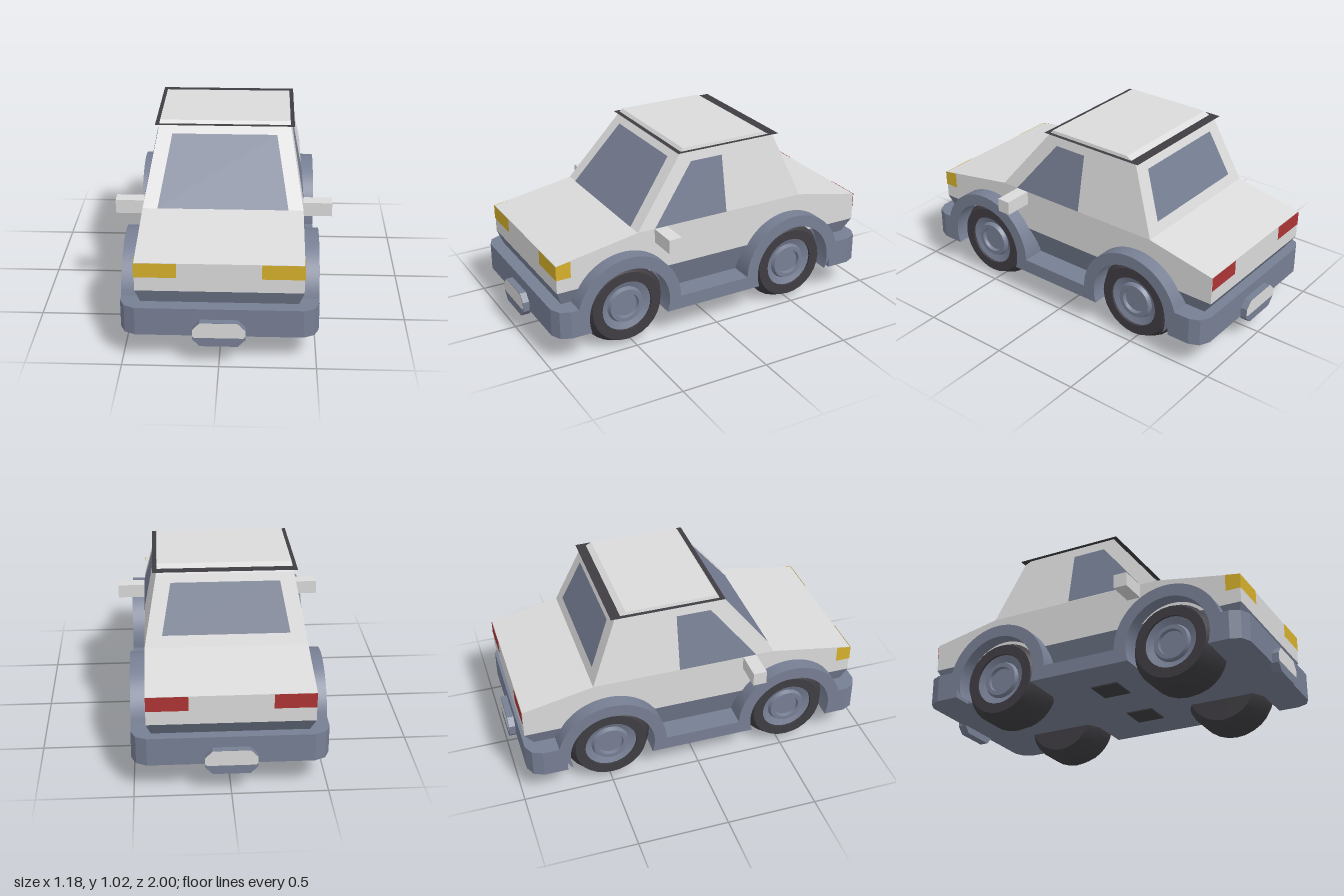
import * as THREE from 'three';
import { toCreasedNormals } from 'three/addons/utils/BufferGeometryUtils.js';

const paint = (name, color) => Object.assign(new THREE.MeshStandardMaterial({ color }), { name });

export function createModel() {
  const car = new THREE.Group();
  car.name = 'car';
  const white = paint('bodyWhite', 0xdadada);
  const grey = paint('trimGrey', 0x777f94);
  const glass = paint('glassGrey', 0x777f94);
  const dark = paint('rubberDark', 0x3f3d42);
  const amber = paint('lampAmber', 0xd6b02c);
  const red = paint('lampRed', 0xae3434);
  glass.side = dark.side = amber.side = red.side = white.side = THREE.DoubleSide;

  const add = (name, geometry, material) => {
    const mesh = new THREE.Mesh(geometry, material);
    mesh.name = name;
    car.add(mesh);
    return mesh;
  };
  const box = (name, material, w, h, d, x, y, z) =>
    add(name, new THREE.BoxGeometry(w, h, d), material).position.set(x, y, z);
  const shapeOf = (pts) => new THREE.Shape(pts.map(([a, b]) => new THREE.Vector2(a, b)));

  // Extrudes a (z, y) side profile across x from x0 to x1
  const across = (shape, x0, x1) => new THREE.ExtrudeGeometry(shape,
    { depth: x1 - x0, bevelEnabled: false, curveSegments: 20 })
    .rotateY(-Math.PI / 2).translate(x1, 0, 0);

  // Symmetric solid whose half width depends on height
  const tapered = (pts, halfWidth) => {
    const geo = across(shapeOf(pts), -1, 1);
    const p = geo.attributes.position;
    for (let i = 0; i < p.count; i++) p.setX(i, Math.sign(p.getX(i)) * halfWidth(p.getY(i)));
    geo.computeVertexNormals();
    return geo;
  };

  // Thin four-cornered panel
  const panel = (name, material, corners) => {
    const geo = new THREE.BufferGeometry();
    geo.setAttribute('position', new THREE.Float32BufferAttribute(corners.flat(), 3));
    geo.setIndex([0, 1, 2, 0, 2, 3]);
    geo.computeVertexNormals();
    return add(name, geo, material);
  };

  // Body shell, lower band and cabin
  const cabinWidth = (y) => 0.43 - (y - 0.63) * (0.075 / 0.39);
  add('bodyShell', tapered([[0.92, 0.393], [0.92, 0.55], [0.45, 0.63], [-0.57, 0.63],
    [-0.957, 0.55], [-0.957, 0.393]], () => 0.43), white);
  add('lowerBand', tapered([[0.86, 0.235], [0.92, 0.393], [-0.957, 0.393], [-0.855, 0.235]],
    (y) => 0.43 - (0.393 - y) * 0.31), grey);
  add('cabin', tapered([[0.45, 0.63], [0.14, 1.02], [-0.36, 1.02], [-0.425, 0.985], [-0.57, 0.63]],
    cabinWidth), white);
  panel('roofTrim', dark, [[-0.38, 1.003, 0.18], [0.38, 1.003, 0.18],
    [0.38, 1.003, -0.447], [-0.38, 1.003, -0.447]]);

  // Windscreen and rear window
  const frontZ = (y) => 0.455 - (y - 0.63) * (0.31 / 0.39);
  const rearZ = (y) => -0.575 + (y - 0.63) * (0.145 / 0.355);
  panel('windscreen', glass, [[-0.35, 0.632, frontZ(0.632)], [0.35, 0.632, frontZ(0.632)],
    [0.285, 0.96, frontZ(0.96)], [-0.285, 0.96, frontZ(0.96)]]);
  panel('rearWindow', glass, [[0.337, 0.69, rearZ(0.69)], [-0.337, 0.69, rearZ(0.69)],
    [-0.287, 0.945, rearZ(0.945)], [0.287, 0.945, rearZ(0.945)]]);

  // Skirt with wheel arches, used on both sides
  const axles = [-0.495, 0.54], hubY = 0.237;
  const inner = Math.asin(0.077 / 0.237), outer = Math.asin(0.078 / 0.305);
  const skirt = new THREE.Shape();
  skirt.moveTo(-0.81, 0.16);
  for (const z of axles) skirt.absarc(z, hubY, 0.237, Math.PI + inner, -inner, true);
  skirt.lineTo(0.85, 0.16);
  skirt.lineTo(0.85, 0.315);
  skirt.absarc(axles[1], hubY, 0.305, outer, Math.PI, false);
  skirt.absarc(axles[0], hubY, 0.305, 0, Math.PI - outer, false);
  skirt.lineTo(-0.81, 0.315);
  box('floor', grey, 0.8, 0.075, 1.76, 0, 0.1975, 0);

  // Wheel profiles as (radius, distance along the axle)
  const lathe = (pts) => toCreasedNormals(
    new THREE.LatheGeometry(pts.map(([r, y]) => new THREE.Vector2(r, y)), 28), 0.5);
  const tyre = lathe([[0, -0.137], [0.2, -0.137], [0.237, -0.067], [0.237, 0.067],
    [0.2, 0.137], [0.145, 0.137], [0.145, 0.11]]);
  const hub = lathe([[0.147, 0.125], [0.105, 0.11], [0.095, 0.132], [0.072, 0.132],
    [0.068, 0.112], [0, 0.112]]);

  for (const s of [1, -1]) {
    const side = s > 0 ? 'left' : 'right';
    add(side + 'Skirt', toCreasedNormals(across(skirt, s > 0 ? 0.38 : -0.51, s > 0 ? 0.51 : -0.38), 0.5), grey);

    for (const z of axles) {
      const wheel = new THREE.Group();
      wheel.name = side + (z > 0 ? 'FrontWheel' : 'RearWheel');
      const t = new THREE.Mesh(tyre, dark), h = new THREE.Mesh(hub, grey);
      t.name = 'tyre';
      h.name = 'hub';
      wheel.add(t, h);
      wheel.rotation.z = -s * Math.PI / 2;
      wheel.position.set(s * 0.333, hubY, z);
      car.add(wheel);
    }

    // Side window, mirror, lamps and underside pad
    panel(side + 'Window', glass, [[0.35, 0.632], [0.1, 0.945], [-0.09, 0.945], [-0.09, 0.632]]
      .map(([z, y]) => [s * (cabinWidth(y) + 0.004), y, z]));
    box(side + 'Mirror', white, 0.17, 0.077, 0.075, s * 0.503, 0.591, 0.313);
    panel(side + 'Headlamp', amber, [[0.215, 0.47], [0.433, 0.47], [0.433, 0.55], [0.215, 0.55]]
      .map(([x, y]) => [s * x, y, 0.923]));
    panel(side + 'HeadlampSide', amber, [[0.923, 0.47], [0.84, 0.47], [0.84, 0.563], [0.923, 0.55]]
      .map(([z, y]) => [s * 0.433, y, z]));
    panel(side + 'TailLamp', red, [[0.215, 0.47], [0.43, 0.47], [0.43, 0.55], [0.215, 0.55]]
      .map(([x, y]) => [s * x, y, -0.96]));
    box(side + 'UndersidePad', dark, 0.16, 0.008, 0.16, s * 0.21, 0.157, 0.06);
  }

  // Bumpers with chamfered corners, each carrying a plate
  const bumper = shapeOf([[-0.51, 0.75], [0.51, 0.75], [0.51, 0.88], [0.485, 0.935], [0.43, 0.962],
    [-0.43, 0.962], [-0.485, 0.935], [-0.51, 0.88]]);
  const frontBumper = shapeOf(bumper.getPoints().map((p) => [p.x, Math.max(p.y, 0.79)]));
  const holder = shapeOf([[-0.097, 0.12], [0.097, 0.12], [0.135, 0.16], [0.135, 0.215],
    [0.097, 0.255], [-0.097, 0.255], [-0.135, 0.215], [-0.135, 0.16]]);
  const plate = shapeOf([[-0.125, 0.17], [0.125, 0.17], [0.135, 0.18], [0.135, 0.215],
    [0.097, 0.255], [-0.097, 0.255], [-0.135, 0.215], [-0.135, 0.18]]);
  for (const [name, turn, shape] of [['front', 0, frontBumper], ['rear', Math.PI, bumper]]) {
    add(name + 'Bumper', new THREE.ExtrudeGeometry(shape, { depth: 0.155, bevelEnabled: false })
      .rotateX(Math.PI / 2).translate(0, 0.315, 0).rotateY(turn), grey);
    add(name + 'PlateHolder', new THREE.ExtrudeGeometry(holder, { depth: 0.048, bevelEnabled: false })
      .translate(0, 0, 0.95).rotateY(turn), grey);
    add(name + 'Plate', new THREE.ShapeGeometry(plate).translate(0, 0, 1).rotateY(turn), white);
  }
  return car;
}
